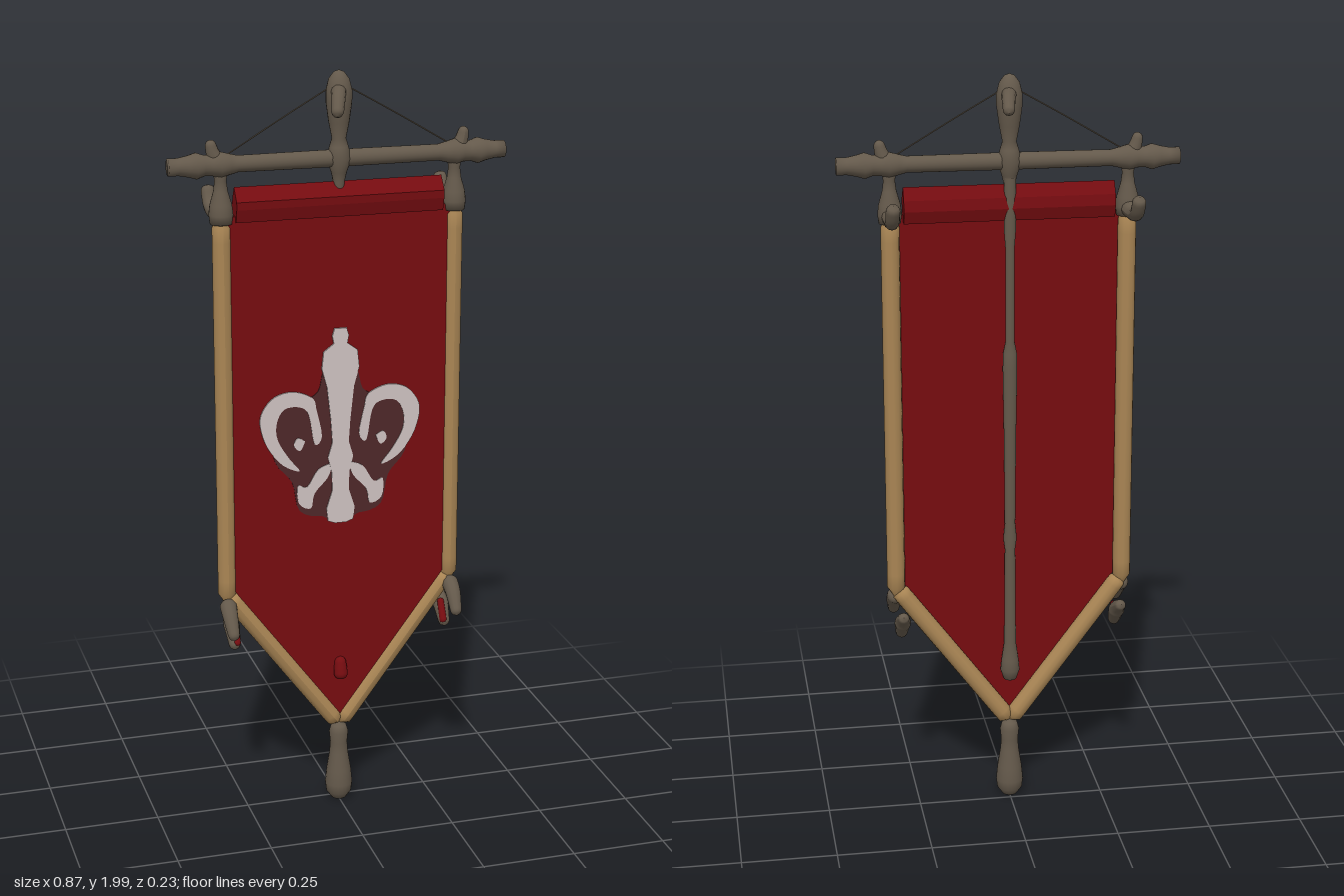
import * as THREE from 'three';

const Z = 0.022; // depth of the frame's centre line

function flat(name, color) {
  const m = new THREE.MeshStandardMaterial({ color });
  m.name = name;
  return m;
}

// Closed limb with rounded ends that follows points; radii are spread along its length
function limbGeometry(points, radii, round = true) {
  const curve = new THREE.CatmullRomCurve3(points.map(p => new THREE.Vector3(...p)));
  const steps = 28, sides = 12;
  const geo = new THREE.TubeGeometry(curve, steps, 1, sides);
  const length = curve.getLength(), pos = geo.attributes.position, v = new THREE.Vector3();
  for (let i = 0; i <= steps; i++) {
    const t = i / steps, c = curve.getPointAt(t);
    const f = t * (radii.length - 1), k = Math.min(Math.floor(f), radii.length - 2);
    let r = THREE.MathUtils.lerp(radii[k], radii[k + 1], f - k);
    const d = Math.min(t, 1 - t) * length;
    if (round && d < r) r = Math.sqrt(Math.max(0, r * r - (r - d) ** 2));
    for (let j = 0; j <= sides; j++) {
      const n = i * (sides + 1) + j;
      v.fromBufferAttribute(pos, n).sub(c).multiplyScalar(r).add(c);
      pos.setXYZ(n, v.x, v.y, v.z);
    }
  }
  geo.computeVertexNormals();
  return geo;
}

// Turned piece from [radius, height] pairs
function turned(profile) {
  return new THREE.LatheGeometry(profile.map(([r, y]) => new THREE.Vector2(r, y)), 20);
}

function plate(points, depth, smooth) {
  const pts = points.map(([x, y]) => new THREE.Vector2(x, y));
  const outline = smooth ? new THREE.SplineCurve([...pts, pts[0]]).getPoints(pts.length * 4).slice(0, -1) : pts;
  return new THREE.ExtrudeGeometry(new THREE.Shape(outline), { depth, bevelEnabled: false });
}

export function createModel() {
  const root = new THREE.Group();
  root.name = 'hangingBanner';
  const wood = flat('dark wood', 0x64594b);
  const trim = flat('tan trim', 0xa98554);
  const red = flat('red cloth', 0x760c10);
  const pale = flat('pale emblem', 0xcdc2c0);
  const dark = flat('emblem shade', 0x4e2729);

  const add = (name, geo, mat, x = 0, y = 0, z = 0) => {
    const m = new THREE.Mesh(geo, mat);
    m.name = name;
    m.position.set(x, y, z);
    root.add(m);
    return m;
  };
  const limb = (name, pts, radii, mat = wood, round = true) => add(name, limbGeometry(pts, radii, round), mat);

  // Crossbar with swollen collars near each end
  const half = [[0.436, 0], [0.436, 0.022], [0.41, 0.022], [0.385, 0.027], [0.365, 0.033], [0.345, 0.026],
    [0.325, 0.027], [0.305, 0.033], [0.28, 0.026], [0.26, 0.021], [0.04, 0.022]];
  const bar = half.map(([x, r]) => [r, -x]).concat(half.map(([x, r]) => [r, x]).reverse());
  add('crossbar', turned(bar), wood, 0, 1.78, Z).rotation.z = Math.PI / 2;

  // Top finial with a drooping arm in front and behind
  add('topFinial', turned([[0, 1.66], [0.014, 1.67], [0.014, 1.72], [0.02, 1.745], [0.032, 1.78], [0.024, 1.81],
    [0.018, 1.83], [0.026, 1.87], [0.033, 1.92], [0.033, 1.95], [0.026, 1.978], [0.013, 1.995], [0, 2]]), wood, 0, 0, Z);
  limb('frontFinialArm', [[0, 1.955, Z], [-0.014, 1.94, 0.065], [-0.028, 1.898, 0.104]], [0.02, 0.018, 0.015]);
  limb('backFinialArm', [[0, 1.955, Z], [0.01, 1.945, -0.03], [0.018, 1.92, -0.086]], [0.02, 0.017, 0.014]);

  // Staff running down behind the cloth
  add('backStaff', turned([[0, 0.355], [0.017, 0.363], [0.026, 0.39], [0.023, 0.42], [0.016, 0.47], [0.014, 0.74],
    [0.018, 0.77], [0.014, 0.81], [0.016, 1.05], [0.019, 1.24], [0.018, 1.28], [0.012, 1.31], [0.012, 1.56],
    [0.015, 1.6], [0.015, 1.74]]), wood, 0, 0, 0.013).scale.z = 0.9;

  // Handle at the bottom point
  add('bottomHandle', turned([[0, 0.01], [0.02, 0.015], [0.034, 0.035], [0.037, 0.06], [0.033, 0.1], [0.025, 0.15],
    [0.023, 0.18], [0.026, 0.21], [0.02, 0.23], [0, 0.24]]), wood, 0, 0, Z);

  for (const s of [1, -1]) {
    const side = s > 0 ? 'left' : 'right', X = 0.304 * s;
    // Tan frame
    limb(side + 'Rail', [[X, 0.61, Z], [X, 1.1, Z], [X, 1.66, Z]], [0.024, 0.024, 0.024], trim);
    limb(side + 'LowerRail', [[X, 0.645, Z], [X / 2, 0.44, Z], [0, 0.235, Z]], [0.024, 0.024, 0.024], trim);
    // Cap joining rail to crossbar, and the peg on top
    add(side + 'RailCap', turned([[0, 1.625], [0.028, 1.632], [0.031, 1.655], [0.028, 1.68], [0.018, 1.715],
      [0.015, 1.74], [0.022, 1.79]]), wood, X, 0, Z);
    limb(side + 'TopPeg', [[X, 1.77, Z], [X + 0.018 * s, 1.81, Z], [X + 0.026 * s, 1.843, Z]], [0.022, 0.018, 0.012]);
    // Curled hook at the back
    limb(side + 'BackHook', [[X, 1.655, Z], [X + 0.003 * s, 1.648, -0.04], [X + 0.004 * s, 1.66, -0.08],
      [X + 0.004 * s, 1.705, -0.108]], [0.024, 0.018, 0.018, 0.018]);
    // Pegs hanging at the lower corners
    limb(side + 'FrontPeg', [[X, 0.625, Z], [X + 0.002 * s, 0.6, 0.06], [X, 0.545, 0.105]], [0.024, 0.02, 0.014]);
    limb(side + 'LowerPeg', [[X - 0.012 * s, 0.585, -0.048], [X - 0.014 * s, 0.555, 0], [X - 0.014 * s, 0.495, 0.05]],
      [0.013, 0.022, 0.014]);
    limb(side + 'PegLining', [[X - 0.019 * s, 0.565, 0.02], [X - 0.019 * s, 0.505, 0.052]], [0.009, 0.01], red);
    // Hanging string
    limb(side + 'String', [[0.01 * s, 1.965, Z], [0.15 * s, 1.885, Z], [0.31 * s, 1.79, Z]],
      [0.0018, 0.0018], wood, false);
  }

  // Cloth panel and the thick hem across its top
  add('cloth', plate([[-0.29, 1.65], [-0.29, 0.66], [0, 0.255], [0.29, 0.66], [0.29, 1.65]], 0.008), red, 0, 0, 0.027);
  const hem = plate([[-0.022, 1.722], [-0.05, 1.688], [-0.049, 1.668], [-0.04, 1.635], [-0.01, 1.63],
    [0, 1.662], [-0.004, 1.69]], 0.54);
  add('topHem', hem, red, -0.27).rotation.y = Math.PI / 2;

  // Small cloth knob near the point
  limb('clothKnob', [[0, 0.435, 0.034], [0, 0.40, 0.04], [0, 0.372, 0.045]], [0.014, 0.018, 0.02], red);

  // Emblem: shaded petals first, pale pieces over them
  const front = 0.035;
  const mirrored = (name, pts, mat, depth) => {
    for (const s of [1, -1]) {
      add((s > 0 ? 'left' : 'right') + name, plate(pts.map(([x, y]) => [x * s, y]), depth, true), mat, 0, 0, front);
    }
  };
  mirrored('PetalShade', [[0.02, 1.2], [0.045, 1.23], [0.06, 1.18], [0.1, 1.16], [0.16, 1.16], [0.19, 1.1],
    [0.175, 1.0], [0.13, 0.94], [0.11, 0.86], [0.05, 0.84], [0.02, 0.86]], dark, 0.002);
  mirrored('PetalRim', [[0.065, 1.135], [0.075, 1.165], [0.125, 1.185], [0.175, 1.175], [0.207, 1.14], [0.214, 1.1],
    [0.195, 1.04], [0.155, 0.99], [0.11, 0.97], [0.14, 1.01], [0.168, 1.06], [0.17, 1.105], [0.15, 1.14],
    [0.11, 1.143], [0.085, 1.12], [0.07, 1.04], [0.05, 1.06]], pale, 0.004);
  mirrored('PetalEye', [[0.095, 1.05], [0.115, 1.06], [0.125, 1.04], [0.108, 1.025]], pale, 0.004);
  mirrored('Foot', [[0.02, 0.985], [0.06, 0.97], [0.09, 0.925], [0.115, 0.93], [0.112, 0.88], [0.08, 0.865],
    [0.07, 0.905], [0.035, 0.945]], pale, 0.004);
  const stem = [[0.016, 1.345], [0.022, 1.325], [0.018, 1.305], [0.045, 1.285], [0.05, 1.24], [0.036, 1.19],
    [0.026, 1.1], [0.022, 1.04], [0.034, 1.0], [0.024, 0.96], [0.022, 0.91], [0.038, 0.86], [0.034, 0.825], [0.015, 0.818]];
  add('emblemStem', plate(stem.concat(stem.map(([x, y]) => [-x, y]).reverse()), 0.005), pale, 0, 0, front);

  return root;
}
